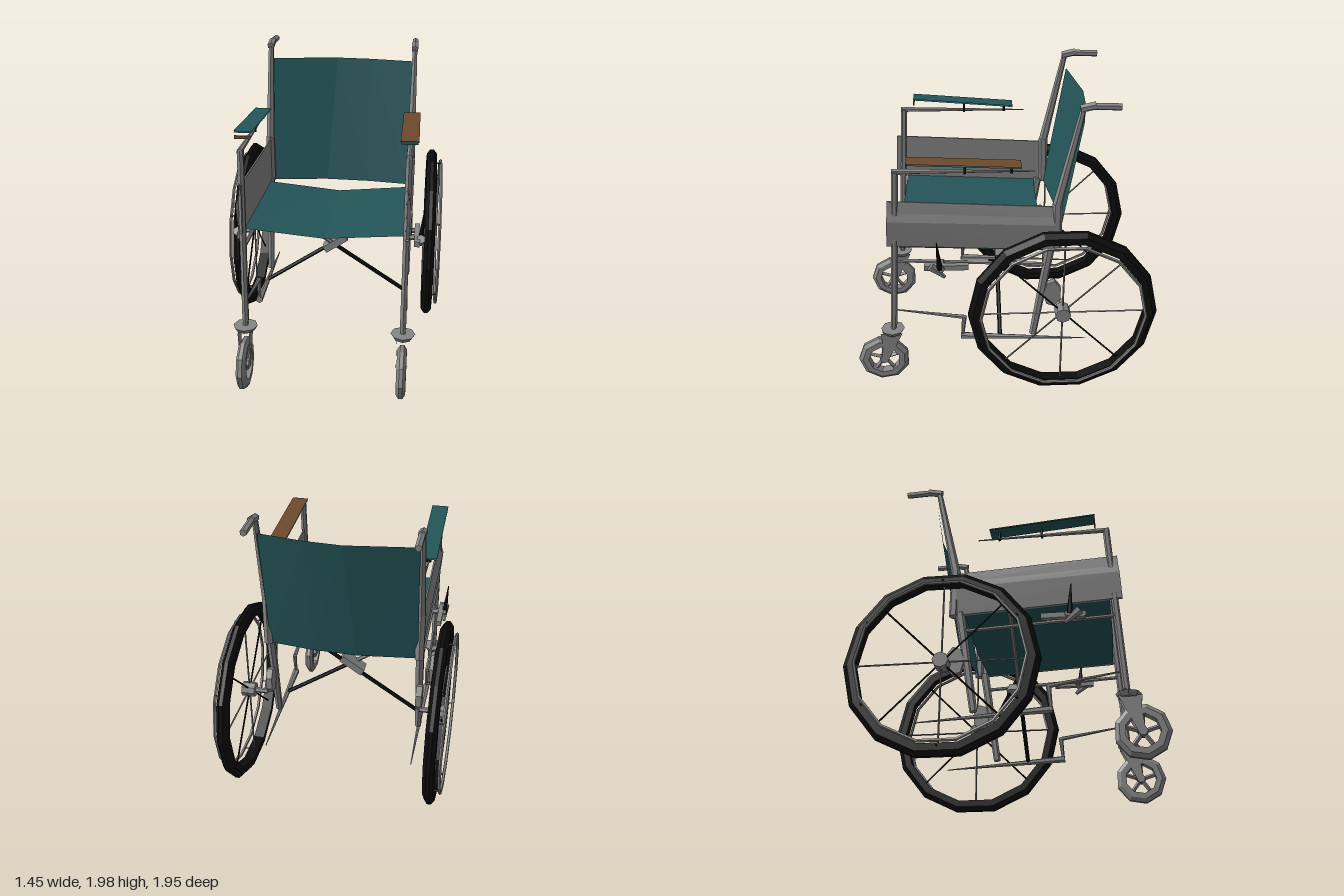
import * as THREE from 'three';

const mat = (name, color) => {
  const m = new THREE.MeshStandardMaterial({ color, flatShading: true, side: THREE.DoubleSide });
  m.name = name;
  return m;
};

export function createModel() {
  const steel = mat('steel grey', 0x868686);
  const fabric = mat('teal fabric', 0x24565a);
  const rubber = mat('black rubber', 0x0c0c0c);
  const wood = mat('brown', 0x6e4a2e);

  const chair = new THREE.Group();
  chair.name = 'wheelchair';
  const V = (x, y, z) => new THREE.Vector3(x, y, z);

  const add = (parent, name, geo, material, x = 0, y = 0, z = 0) => {
    const m = new THREE.Mesh(geo, material);
    m.name = name;
    m.position.set(x, y, z);
    parent.add(m);
    return m;
  };

  // Straight tube between two points, optionally tapered
  const bar = (parent, name, a, b, r, material = steel, r2 = r, sides = 6) => {
    const A = V(...a), B = V(...b), d = B.clone().sub(A);
    const m = add(parent, name, new THREE.CylinderGeometry(r2, r, d.length(), sides), material);
    m.position.copy(A).add(B).multiplyScalar(0.5);
    m.quaternion.setFromUnitVectors(V(0, 1, 0), d.normalize());
    return m;
  };

  // Surface through rows of points
  const sheet = (rows) => {
    const pos = [];
    for (let i = 0; i < rows.length - 1; i++) {
      for (let j = 0; j < rows[i].length - 1; j++) {
        const a = rows[i][j], b = rows[i][j + 1], c = rows[i + 1][j + 1], d = rows[i + 1][j];
        pos.push(...a, ...b, ...c, ...a, ...c, ...d);
      }
    }
    const g = new THREE.BufferGeometry();
    g.setAttribute('position', new THREE.Float32BufferAttribute(pos, 3));
    g.computeVertexNormals();
    return g;
  };

  // Ring about the x axis with a chamfered section
  const ring = (rIn, rOut, w, flat, sides) => {
    const c = (rOut - rIn) * 0.4;
    const p = [[rIn, -w], [rOut - c, -w], [rOut, -flat], [rOut, flat], [rOut - c, w], [rIn, w], [rIn, -w]];
    return new THREE.LatheGeometry(p.map(([r, y]) => new THREE.Vector2(r, y)), sides).rotateZ(Math.PI / 2);
  };

  // Drum with its axis along x
  const drum = (r, w, sides) => new THREE.CylinderGeometry(r, r, w, sides).rotateZ(Math.PI / 2);

  // Sagging seat and bowed backrest
  add(chair, 'seat', sheet([
    [[-0.51, 1.06, 0.66], [0, 1.02, 0.67], [0.53, 1.06, 0.66]],
    [[-0.51, 1.01, -0.26], [0, 0.96, -0.26], [0.52, 1.01, -0.26]],
  ]), fabric);
  add(chair, 'backrest', sheet([
    [[-0.49, 1.86, -0.47], [-0.04, 1.86, -0.53], [0.2, 1.86, -0.515], [0.49, 1.86, -0.47]],
    [[-0.49, 1.0, -0.33], [-0.1, 1.0, -0.375], [0.2, 1.0, -0.365], [0.49, 1.0, -0.33]],
  ]), fabric);

  // Folding cross brace
  const brace = new THREE.Group();
  brace.name = 'crossBrace';
  chair.add(brace);
  bar(brace, 'braceBarA', [-0.49, 1.0, 0.03], [0, 0.67, 0.03], 0.014);
  bar(brace, 'braceBarALower', [0, 0.67, 0.03], [0.49, 0.34, 0.03], 0.014, rubber);
  bar(brace, 'braceBarB', [0.49, 1.0, -0.03], [-0.49, 0.34, -0.03], 0.014, rubber);
  add(brace, 'bracePivotPlate', new THREE.BoxGeometry(0.18, 0.05, 0.09), steel, 0, 0.68, 0).rotation.z = 0.6;

  for (const s of [1, -1]) {
    const side = new THREE.Group();
    side.name = s > 0 ? 'leftSide' : 'rightSide';
    chair.add(side);
    const x = 0.5 * s;

    // Creased skirt panel
    const line = (px, front, rear, zf, zr) => [[px * s, front, zf], [px * s, rear, zr]];
    add(side, 'sidePanel', sheet([
      line(0.505, 1.37, 1.31, 0.72, -0.3), line(0.515, 1.29, 1.24, 0.725, -0.31),
      line(0.53, 1.24, 1.19, 0.73, -0.315), line(0.515, 1.06, 1.0, 0.74, -0.34),
      line(0.495, 1.06, 1.0, 0.74, -0.34), line(0.495, 1.37, 1.31, 0.72, -0.3),
      line(0.505, 1.37, 1.31, 0.72, -0.3),
    ]), steel);

    // Frame tubes
    bar(side, 'frontPost', [x, 0.45, 0.73], [x, 1.08, 0.69], 0.022);
    bar(side, 'armPost', [x, 1.06, 0.69], [x, 1.57, 0.66], 0.022);
    bar(side, 'armRail', [x, 1.57, 0.68], [x, 1.555, -0.18], 0.018, steel, 0.004);
    bar(side, 'backPost', [x, 1.0, -0.33], [x, 1.33, -0.325], 0.032);
    bar(side, 'backPostUpper', [x, 1.32, -0.325], [x, 1.96, -0.46], 0.03, steel, 0.018);
    bar(side, 'rearPost', [x, 1.02, -0.29], [x, 0.35, -0.19], 0.03, steel, 0.024);
    bar(side, 'seatRail', [x, 0.945, 0.69], [x, 0.895, -0.25], 0.013);
    bar(side, 'lowerRail', [x, 0.345, 0.29], [x, 0.295, -0.55], 0.024, steel, 0.003);
    bar(side, 'footStrut', [x, 0.565, 0.7], [x, 0.495, 0.27], 0.005, steel, 0.015);
    bar(side, 'footDrop', [x, 0.5, 0.265], [x, 0.34, 0.28], 0.016, steel, 0.01);

    // Push handle
    bar(side, 'pushHandleNeck', [x, 1.95, -0.44], [x, 1.97, -0.53], 0.025);
    bar(side, 'pushHandleGrip', [x, 1.965, -0.5], [x, 1.958, -0.68], 0.022);

    // Armrest pad with clamps
    const lift = s > 0 ? 0 : 0.025;
    const pad = (dy) => sheet([
      [[x - 0.055, 1.635 + lift + dy, 0.59], [x + 0.055, 1.635 + lift + dy, 0.59]],
      [[x - 0.055, 1.6 + dy, -0.1], [x + 0.055, 1.6 + dy, -0.1]],
    ]);
    add(side, 'armrestTop', pad(0.005), s > 0 ? wood : fabric);
    add(side, 'armrestUnderside', pad(-0.004), fabric);
    add(side, 'armrestFront', new THREE.BoxGeometry(0.1, 0.02, 0.008), s > 0 ? fabric : wood, x, 1.628, 0.588);
    for (const z of [0.24, -0.04]) add(side, 'armrestClamp', new THREE.BoxGeometry(0.03, 0.05, 0.015), rubber, x, 1.575, z);

    // Brake
    const brake = new THREE.Group();
    brake.name = 'brake';
    side.add(brake);
    add(brake, 'brakeBody', new THREE.BoxGeometry(0.035, 0.035, 0.28), steel, 0.565 * s, 0.93, 0.37);
    bar(brake, 'brakeMount', [x, 0.93, 0.4], [0.6 * s, 0.93, 0.4], 0.02);
    bar(brake, 'brakeLever', [0.59 * s, 0.93, 0.41], [0.605 * s, 1.13, 0.425], 0.02, rubber, 0.003);
    bar(brake, 'brakeShoe', [0.59 * s, 0.95, 0.47], [0.59 * s, 0.87, 0.38], 0.03, steel, 0.012);

    // Drive wheel
    const wheel = new THREE.Group();
    wheel.name = 'driveWheel';
    wheel.position.set(0.65 * s, 0.62, -0.365);
    side.add(wheel);
    add(wheel, 'tyre', ring(0.53, 0.606, 0.036, 0.012, 14), rubber);
    add(wheel, 'pushRim', new THREE.TorusGeometry(0.525, 0.011, 5, 14).rotateY(Math.PI / 2), steel, 0.065 * s);
    add(wheel, 'hub', drum(0.05, 0.09, 8), steel);
    bar(wheel, 'axle', [0, 0, 0], [-0.13 * s, 0, 0], 0.018);
    for (let i = 0; i < 8; i++) {
      const a = i * Math.PI / 4, c = Math.cos(a), n = Math.sin(a);
      bar(wheel, 'spoke', [0, n * 0.03, c * 0.03], [0, n * 0.54, c * 0.54], 0.006, i % 2 ? rubber : steel, 0.006, 4);
    }
    for (let i = 0; i < 6; i++) {
      const a = (i + 0.5) * Math.PI / 3, c = Math.cos(a) * 0.535, n = Math.sin(a) * 0.535;
      bar(wheel, 'rimPeg', [0, n, c], [0.065 * s, n, c], 0.006, rubber, 0.006, 4);
    }
    const bracket = add(side, 'axleBracket', drum(0.075, 0.04, 7), steel, 0.51 * s, 0.68, -0.31);
    bracket.scale.set(1, 1.3, 0.8);

    // Caster wheel and fork
    const caster = new THREE.Group();
    caster.name = 'caster';
    caster.position.set(x, 0.18, 0.81);
    side.add(caster);
    add(caster, 'casterTyre', ring(0.105, 0.17, 0.03, 0.012, 9), steel);
    add(caster, 'casterHub', drum(0.03, 0.06, 6), steel);
    for (let i = 0; i < 5; i++) {
      const a = i * Math.PI * 0.4 + 0.3;
      bar(caster, 'casterSpoke', [0, 0, 0], [0, Math.sin(a) * 0.12, Math.cos(a) * 0.12], 0.014, steel, 0.014, 4);
    }
    for (const k of [-0.036, 0.036]) {
      add(caster, 'casterFork', sheet([
        [[k, 0.22, -0.135], [k, 0.22, 0.01]], [[k, 0.13, -0.09], [k, 0.13, 0.0]], [[k, -0.02, -0.02], [k, -0.02, 0.02]],
      ]), steel);
    }
    add(caster, 'casterCrown', new THREE.CylinderGeometry(0.078, 0.06, 0.03, 8), steel, 0, 0.225, -0.07);
    bar(caster, 'casterStem', [0, 0.22, -0.075], [0, 0.29, -0.08], 0.018);
  }
  return chair;
}
